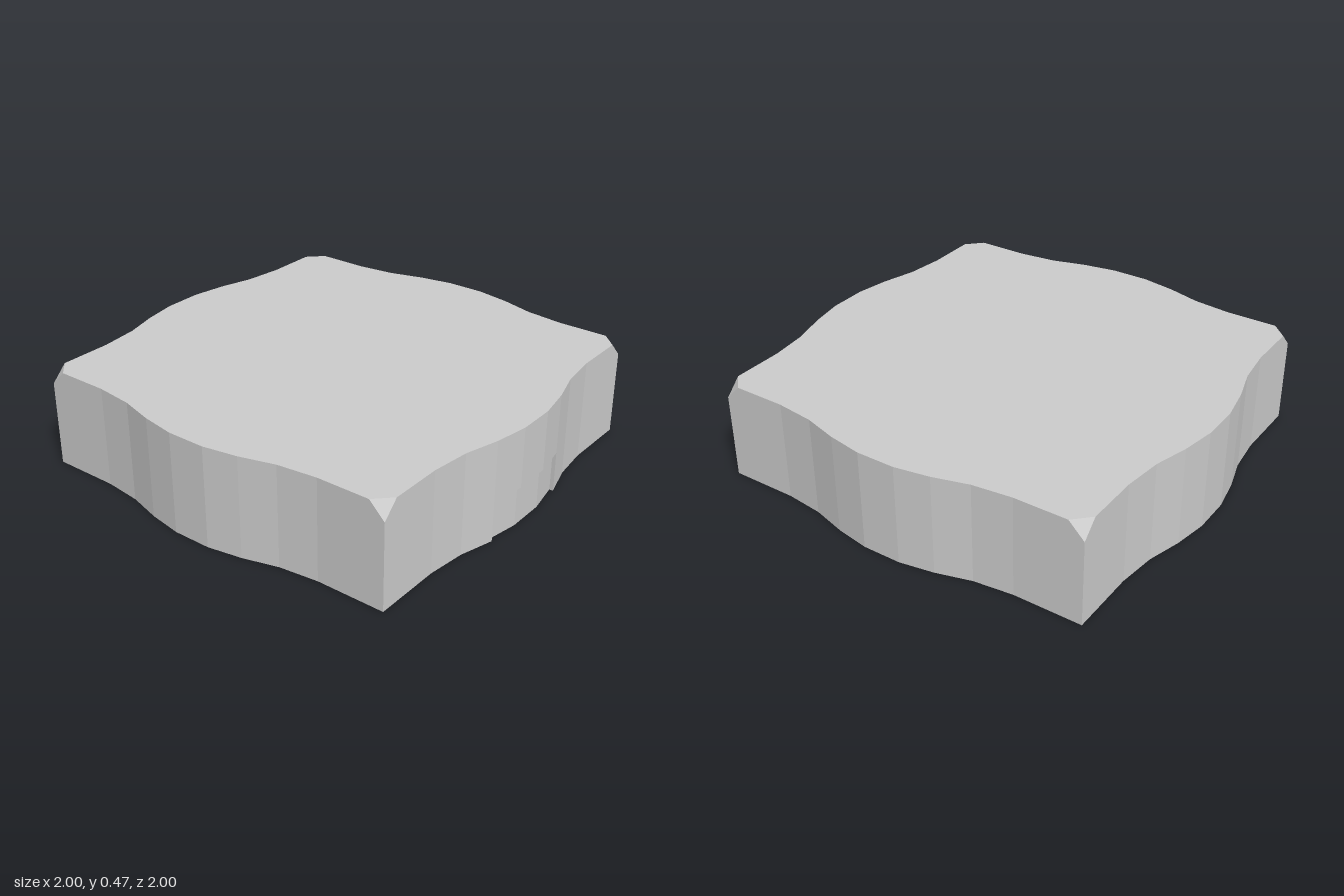
import * as THREE from 'three';

const TOP = 0.47, CORNER = 0.906, CUT = 0.072, NOTCH_TOP = 0.19, NOTCH_DEPTH = 0.018;

// One bulging side, as (x, distance from centre), from corner to corner
const half = [[CORNER, CORNER], [CORNER - CUT, CORNER], [0.59, CORNER], [0.41, 0.927], [0.25, 0.972], [0.09, 1]];
const side = [...half.map(([x, d]) => [-x, d]), ...half.slice().reverse()];

export function createModel() {
  const group = new THREE.Group();
  const positions = [];
  const tri = (...pts) => pts.forEach(p => positions.push(...p));
  const quad = (a, b, c, d) => { tri(a, b, c); tri(a, c, d); };
  const at = ([x, z], y) => [x, y, z];

  for (let k = 0; k < 4; k++) {
    // Quarter turns of the same side; k = 0 is the front
    const turn = ([x, z]) => [[x, z], [z, -x], [-x, -z], [-z, x]][k];
    const pts = side.map(turn);
    const last = pts.length - 1;
    // The wall is lowered to the chamfer at both corners
    const topY = i => (i === 0 || i === last ? TOP - CUT : TOP);

    for (let i = 0; i < last; i++) {
      const a = pts[i], b = pts[i + 1];
      const inNotch = k === 0 && Math.abs(a[0]) < 0.26 && Math.abs(b[0]) < 0.26;
      const base = inNotch ? NOTCH_TOP : 0;
      quad(at(a, base), at(b, base), at(b, topY(i + 1)), at(a, topY(i)));

      // Recessed wall and ceiling of the front notch
      const inset = p => (inNotch ? [p[0], p[1] - NOTCH_DEPTH] : p);
      const ai = inset(a), bi = inset(b);
      if (inNotch) {
        quad(at(ai, 0), at(bi, 0), at(bi, NOTCH_TOP), at(ai, NOTCH_TOP));
        quad(at(ai, NOTCH_TOP), at(bi, NOTCH_TOP), at(b, NOTCH_TOP), at(a, NOTCH_TOP));
        if (a[0] < -0.2) quad(at(a, 0), at(ai, 0), at(ai, NOTCH_TOP), at(a, NOTCH_TOP));
        if (b[0] > 0.2) quad(at(bi, 0), at(b, 0), at(b, NOTCH_TOP), at(bi, NOTCH_TOP));
      }

      // Bottom and top faces as fans around the centre
      tri([0, 0, 0], at(bi, 0), at(ai, 0));
      if (i > 0 && i < last - 1) tri([0, TOP, 0], at(a, TOP), at(b, TOP));
    }

    // Corner chamfer, and the slice of the top behind it
    const before = at(pts[last - 1], TOP);
    const after = at(turn([CORNER, CORNER - CUT]), TOP);
    tri(before, at(pts[last], TOP - CUT), after);
    tri([0, TOP, 0], before, after);
  }

  const geometry = new THREE.BufferGeometry();
  geometry.setAttribute('position', new THREE.Float32BufferAttribute(positions, 3));
  geometry.computeVertexNormals();
  const body = new THREE.Mesh(geometry, new THREE.MeshStandardMaterial({ color: 0xcccccc, flatShading: true }));
  body.name = 'notchedSlab';
  group.add(body);
  return group;
}
